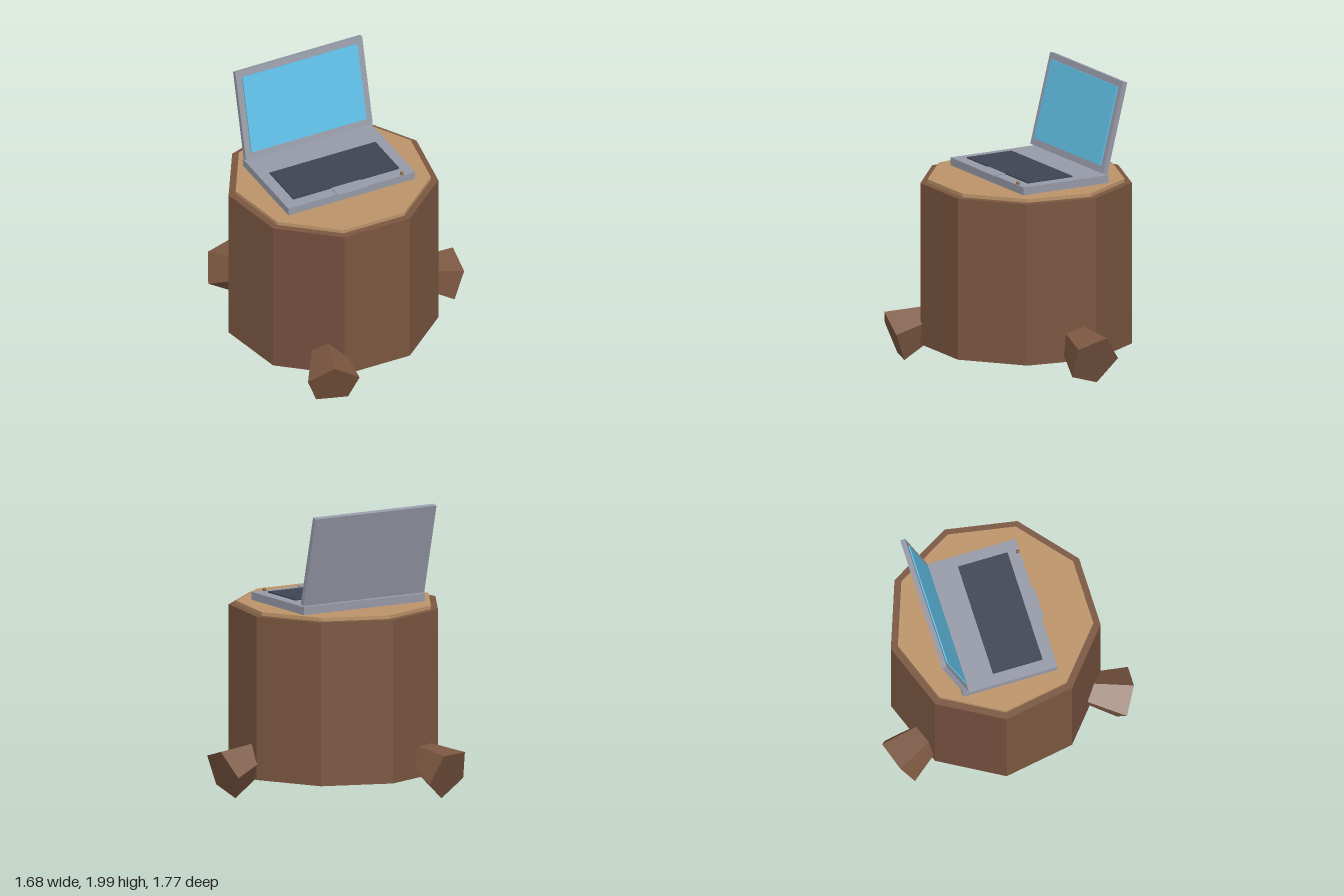
import * as THREE from 'three';

const mat = (name, color) => {
  const m = new THREE.MeshStandardMaterial({ color });
  m.name = name;
  return m;
};

// Faceted copy of a geometry
function faceted(geo) {
  const g = geo.toNonIndexed();
  g.computeVertexNormals();
  return g;
}

function add(parent, name, geo, material, x = 0, y = 0, z = 0) {
  const mesh = new THREE.Mesh(geo, material);
  mesh.name = name;
  mesh.position.set(x, y, z);
  parent.add(mesh);
  return mesh;
}

// Box given by its minimum and maximum corners
function slab(parent, name, material, [x0, y0, z0], [x1, y1, z1]) {
  return add(parent, name, new THREE.BoxGeometry(x1 - x0, y1 - y0, z1 - z0), material,
    (x0 + x1) / 2, (y0 + y1) / 2, (z0 + z1) / 2);
}

export function createModel() {
  const bark = mat('bark', 0x7a5640);
  const redBark = mat('reddish bark', 0x734e3d);
  const wood = mat('cut wood', 0xbb9368);
  const grey = mat('laptop grey', 0x969aa7);
  const dark = mat('keyboard dark', 0x3e4452);
  const blue = mat('screen blue', 0x5fbfe6);
  const bronze = mat('button bronze', 0x8a6236);

  const model = new THREE.Group();
  model.name = 'stumpWithLaptop';

  // Nine-sided trunk with two redder bark facets
  const stump = new THREE.Group();
  stump.name = 'stump';
  model.add(stump);
  const trunkGeo = faceted(new THREE.CylinderGeometry(0.73, 0.73, 1.13, 9, 1, false, Math.PI));
  trunkGeo.clearGroups();
  for (let i = 0; i < 9; i++) trunkGeo.addGroup(i * 6, 6, i === 1 || i === 3 ? 1 : 0);
  trunkGeo.addGroup(54, trunkGeo.attributes.position.count - 54, 0);
  add(stump, 'trunk', trunkGeo, [bark, redBark], -0.13, 0.717, 0.005);
  add(stump, 'cutTop', faceted(new THREE.CylinderGeometry(0.68, 0.68, 0.04, 9, 1, false, Math.PI)),
    wood, -0.13, 1.287, 0.005);

  // Five-sided roots flaring outwards and down: outer centre, heading, roll (degrees)
  const rad = THREE.MathUtils.degToRad;
  const tilt = rad(20);
  const up = new THREE.Vector3(0, 1, 0);
  const roots = [
    ['leftRoot', [0.775, 0.195, 0], 0, 19],
    ['frontRoot', [-0.53, 0.19, 0.815], 108, 0],
    ['backRoot', [-0.53, 0.19, -0.8], 252, 36],
  ];
  for (const [name, centre, heading, roll] of roots) {
    const out = new THREE.Vector3(Math.cos(rad(heading)), 0, Math.sin(rad(heading)));
    const side = new THREE.Vector3(out.z, 0, -out.x);
    const v = out.clone().multiplyScalar(Math.sin(tilt)).addScaledVector(up, Math.cos(tilt));
    const inward = out.clone().multiplyScalar(-Math.cos(tilt)).addScaledVector(up, Math.sin(tilt));
    const geo = faceted(new THREE.CylinderGeometry(0.08, 0.187, 0.4, 5, 1, false, rad(roll)));
    geo.translate(0, 0.2, 0);
    geo.applyMatrix4(new THREE.Matrix4().makeBasis(side, inward, v));
    add(stump, name, geo, bark, ...centre);
  }

  // Laptop base, keyboard, touchpad and button
  const laptop = new THREE.Group();
  laptop.name = 'laptop';
  model.add(laptop);
  slab(laptop, 'base', grey, [-0.615, 1.305, -0.36], [0.355, 1.362, 0.313]);
  slab(laptop, 'keyboard', dark, [-0.535, 1.362, -0.122], [0.275, 1.371, 0.23]);
  slab(laptop, 'touchpad', grey, [-0.245, 1.36, 0.23], [-0.02, 1.368, 0.33]);
  add(laptop, 'button', new THREE.SphereGeometry(0.014, 10, 8), bronze, 0.26, 1.37, 0.298);

  // Lid leaning back from its lower front edge
  const lid = new THREE.Group();
  lid.name = 'lid';
  lid.position.set(-0.13, 1.377, -0.318);
  lid.rotation.x = -rad(14.2);
  laptop.add(lid);
  slab(lid, 'lidFrame', grey, [-0.485, 0, -0.035], [0.485, 0.643, 0]);
  slab(lid, 'screen', blue, [-0.44, 0.048, 0], [0.44, 0.6, 0.0095]);

  return model;
}
